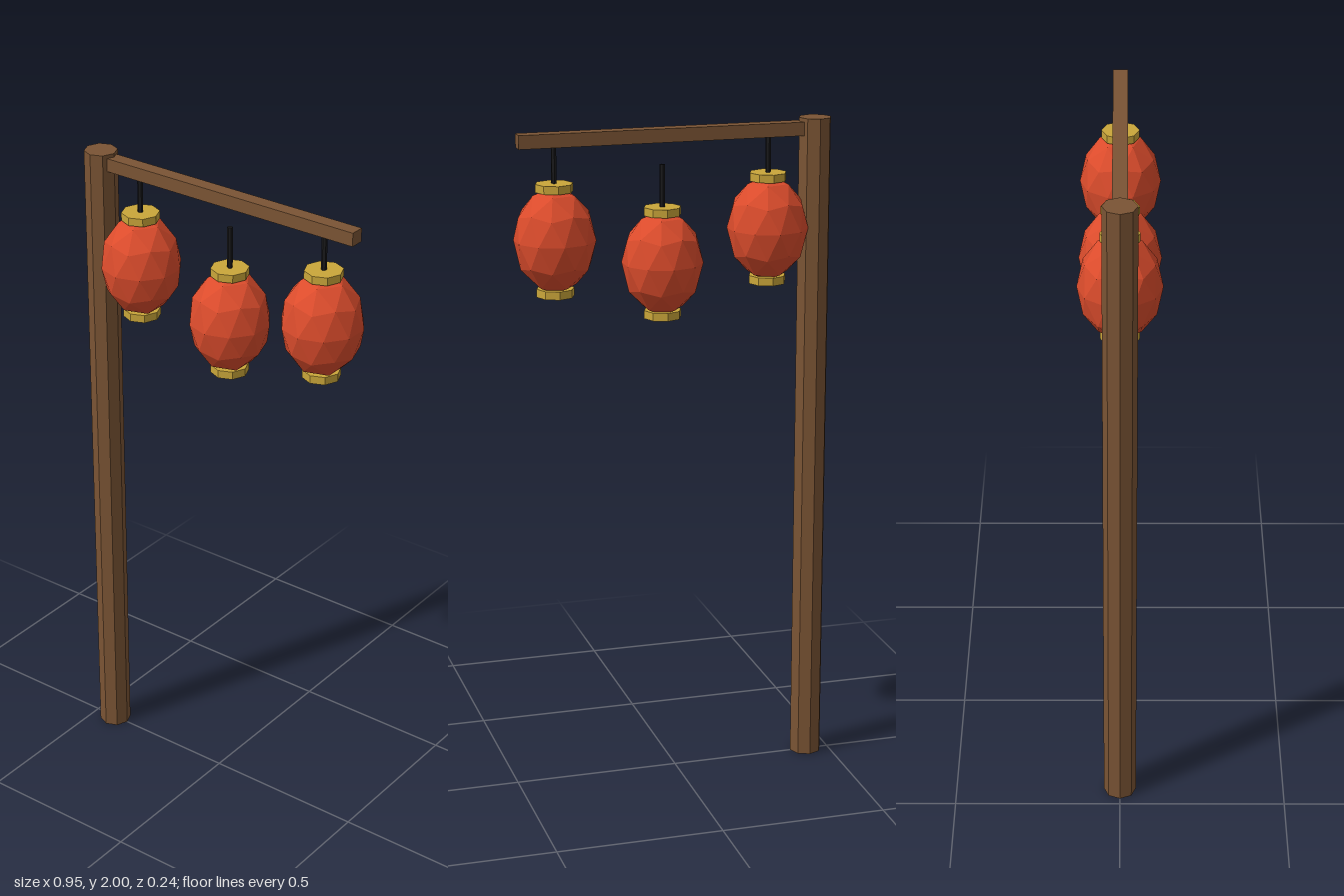
import * as THREE from 'three';

function material(name, color) {
  const m = new THREE.MeshStandardMaterial({ color, flatShading: true });
  m.name = name;
  return m;
}

export function createModel() {
  const wood = material('brown wood', 0x7a5434);
  const paper = material('red paper', 0xdc4c2c);
  const gold = material('gold trim', 0xcaa63a);
  const cordBlack = material('black cord', 0x1a1a1c);

  const model = new THREE.Group();
  model.name = 'lanternPost';

  function add(parent, name, geometry, mat, x, y) {
    const mesh = new THREE.Mesh(geometry, mat);
    mesh.name = name;
    mesh.position.set(x, y, 0);
    parent.add(mesh);
  }

  // Octagonal post and the arm reaching out from its top
  const postX = -0.427, armEnd = 0.466, armY = 1.969;
  add(model, 'post', new THREE.CylinderGeometry(0.049, 0.049, 2, 8), wood, postX, 1);
  add(model, 'arm', new THREE.BoxGeometry(armEnd - postX, 0.04, 0.043), wood, (armEnd + postX) / 2, armY);

  // Faceted lantern body, turned so a corner points straight up, then stretched
  const body = new THREE.IcosahedronGeometry(1, 1);
  body.rotateZ(-Math.atan(2 / (1 + Math.sqrt(5))));
  body.scale(0.12, 0.156, 0.12);
  const cap = new THREE.CylinderGeometry(0.056, 0.056, 0.024, 8);
  const cord = new THREE.CylinderGeometry(0.008, 0.008, 0.13, 6);

  // Three hanging lanterns, the middle one lower
  [[-0.284, 1.679], [0.038, 1.594], [0.36, 1.679]].forEach(([x, y], i) => {
    const lantern = new THREE.Group();
    lantern.name = ['rightLantern', 'middleLantern', 'leftLantern'][i];
    lantern.position.set(x, y, 0);
    add(lantern, 'body', body, paper, 0, 0);
    add(lantern, 'topCap', cap, gold, 0, 0.153);
    add(lantern, 'bottomCap', cap, gold, 0, -0.153);
    add(lantern, 'cord', cord, cordBlack, 0, 0.224);
    model.add(lantern);
  });

  return model;
}
